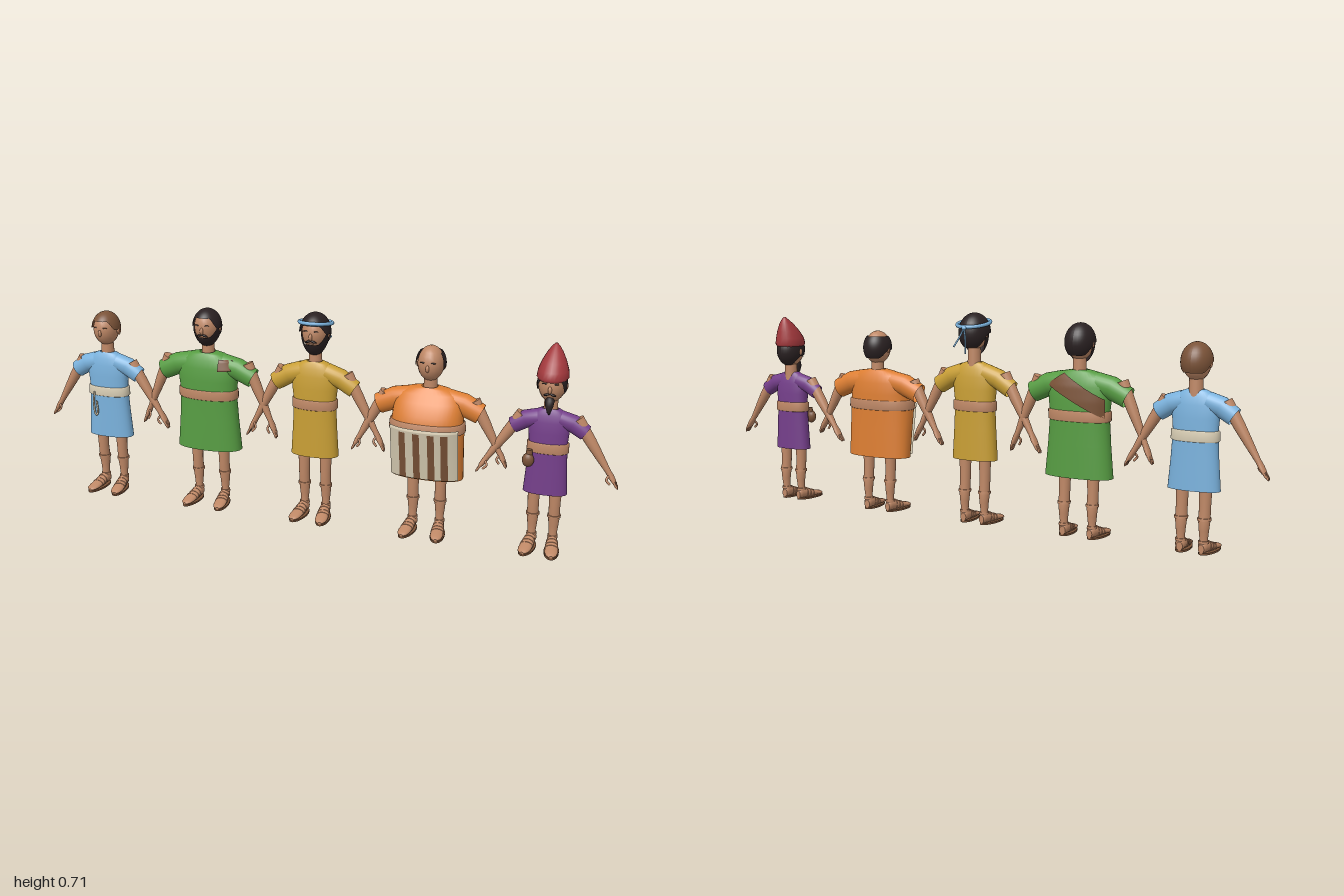
import * as THREE from 'three';

const mat = (name, color) => {
  const m = new THREE.MeshStandardMaterial({ color, side: THREE.DoubleSide });
  m.name = name;
  return m;
};
const { smoothstep, lerp } = THREE.MathUtils;
const V = (x, y, z) => new THREE.Vector3(x, y, z);

function add(parent, name, geo, material, pos) {
  const m = new THREE.Mesh(geo, material);
  m.name = name;
  if (pos) m.position.set(...pos);
  parent.add(m);
  return m;
}

// Skin over oval sections [x, y, z, r, rz]; each one is square to the path in the xy plane
function loft(secs, { n = 24, pow = 1, caps = true } = {}) {
  const pos = [], idx = [];
  const bend = (v) => Math.sign(v) * Math.abs(v) ** pow;
  const ring = (i) => {
    const s = secs[i], a = secs[Math.max(i - 1, 0)], b = secs[Math.min(i + 1, secs.length - 1)];
    const dx = b[0] - a[0], dy = b[1] - a[1], len = Math.hypot(dx, dy) || 1;
    for (let j = 0; j < n; j++) {
      const t = (j / n) * Math.PI * 2, c = bend(Math.cos(t)) * s[3];
      pos.push(s[0] + (dy / len) * c, s[1] - (dx / len) * c, s[2] + bend(Math.sin(t)) * s[4]);
    }
  };
  secs.forEach((_, i) => ring(i));
  for (let i = 0; i < secs.length - 1; i++)
    for (let j = 0; j < n; j++) {
      const a = i * n + j, b = i * n + ((j + 1) % n);
      idx.push(a, a + n, b, b, a + n, b + n);
    }
  if (caps) [0, secs.length - 1].forEach((i) => {
    const base = pos.length / 3;
    ring(i);
    pos.push(secs[i][0], secs[i][1], secs[i][2]);
    for (let j = 0; j < n; j++) {
      const k = base + ((j + 1) % n);
      if (i) idx.push(base + n, k, base + j); else idx.push(base + n, base + j, k);
    }
  });
  const g = new THREE.BufferGeometry();
  g.setAttribute('position', new THREE.Float32BufferAttribute(pos, 3));
  g.setIndex(idx);
  g.computeVertexNormals();
  return g;
}

// Section of a loft at height y, grown a little outwards
function sectionAt(secs, y, grow = 0) {
  let i = 0;
  while (i < secs.length - 2 && secs[i + 1][1] < y) i++;
  const k = (y - secs[i][1]) / (secs[i + 1][1] - secs[i][1]);
  const s = secs[i].map((v, c) => lerp(v, secs[i + 1][c], k));
  return [s[0], y, s[2], s[3] + grow, s[4] + grow];
}

// Grid moved by a rule (u, v) -> Vector3
function sheet(nu, nv, rule) {
  const g = new THREE.PlaneGeometry(1, 1, nu, nv), p = g.attributes.position, uv = g.attributes.uv;
  for (let i = 0; i < p.count; i++) p.setXYZ(i, ...rule(uv.getX(i), uv.getY(i)).toArray());
  g.computeVertexNormals();
  return g;
}

// Piece of an ellipsoid around the head; angle 0 is the front
const shell = (r, centre, span, min, max) => sheet(40, 12, (u, v) => {
  const a = centre + (u - 0.5) * span, th = lerp(max(a), min(a), v);
  return V(r[0] * Math.sin(th) * Math.sin(a), r[1] * Math.cos(th), r[2] * Math.sin(th) * Math.cos(a));
});
const hairline = (front, sideTh, back) => (a) => front
  + (sideTh - front) * smoothstep(Math.abs(a), 0.6, 1.2) + (back - sideTh) * smoothstep(Math.abs(a), 1.5, 2.4);

// Cloth lying on the body: corners are [bottom left, bottom right, top left, top right]
const BODY_POW = 0.85;
const patch = (body, [bl, br, tl, tr], side, grow) => sheet(16, 12, (u, v) => {
  const x = lerp(lerp(bl[0], br[0], u), lerp(tl[0], tr[0], u), v);
  const y = lerp(lerp(bl[1], br[1], u), lerp(tl[1], tr[1], u), v);
  const s = sectionAt(body, y, grow), k = 2 / BODY_POW, q = Math.min(Math.abs(x) / s[3], 0.93);
  return V(x, y, s[2] + side * s[4] * (1 - q ** k) ** (1 / k));
});
const tube = (pts, r, closed = false) =>
  new THREE.TubeGeometry(new THREE.CatmullRomCurve3(pts.map((p) => V(...p)), closed), 32, r, 8, closed);
const ball = (x, y, z) => new THREE.SphereGeometry(1, 18, 12).scale(x, y, z);

export function createModel() {
  const M = {
    skin: mat('skin', 0xbf8866), blue: mat('blue cloth', 0x7ab2dd), green: mat('green cloth', 0x579d43),
    yellow: mat('yellow cloth', 0xc99f35), orange: mat('orange cloth', 0xde7f33), purple: mat('purple cloth', 0x753f8b),
    dark: mat('dark hair', 0x2a2122), brown: mat('brown', 0x7b5338), red: mat('red felt', 0xa3383c), cream: mat('cream', 0xdbd0b6),
  };
  const model = new THREE.Group();
  model.name = 'fivePeople';

  // Foot runs along y, then is turned to point forwards
  const foot = [[-0.02, 0.010, 0.014], [-0.008, 0.016, 0.02], [0.012, 0.017, 0.019], [0.04, 0.02, 0.013],
    [0.07, 0.021, 0.009], [0.088, 0.017, 0.007], [0.098, 0.006, 0.004]].map(([z, w, h]) => [0, z, -0.005 - h, w, h]);

  function leg(person, f, s) {
    const g = new THREE.Group();
    g.name = s > 0 ? 'leftLeg' : 'rightLeg';
    g.position.x = s * f.foot;
    person.add(g);
    const shape = [[0.03, -0.004, 0.014], [0.05, -0.004, 0.013], [0.075, -0.005, 0.0155], [0.105, -0.004, 0.0185],
      [0.15, 0, 0.018], [f.hem + 0.06, 0, 0.022]].map(([y, z, r]) => [0, y, z, r, r]);
    add(g, 'leg', loft(shape), M.skin);
    for (const [y, h] of [[0.039, 0.004], [0.11, 0.004]])
      add(g, 'legStrap', loft([y - h, y + h].map((q) => sectionAt(shape, q, 0.003))), M.skin);
    const shoe = new THREE.Group();
    shoe.name = 'sandal';
    shoe.rotation.y = s * 0.12;
    g.add(shoe);
    add(shoe, 'foot', loft(foot).rotateX(Math.PI / 2), M.skin);
    for (const z of [0.018, 0.032, 0.046])
      add(shoe, 'footStrap', loft([z - 0.004, z + 0.004].map((q) => sectionAt(foot, q, 0.0015))).rotateX(Math.PI / 2), M.skin);
    add(shoe, 'sole', new THREE.CylinderGeometry(1, 1, 0.006, 28).scale(0.024, 1, 0.06), M.brown, [0, 0.003, 0.04]);
  }

  function arm(person, f, s) {
    const g = new THREE.Group();
    g.name = s > 0 ? 'leftArm' : 'rightArm';
    person.add(g);
    const [ex, ey] = f.sleeve, [hx, hy] = f.hand, r = f.sleeveR;
    const at = (k, dz = 0) => [s * lerp(ex, hx, k), lerp(ey, hy, k), dz];
    const sx = f.chest * 0.5, sy = f.sh - r - 0.008;
    // Sleeve with a slight cuff
    const mid = [s * lerp(sx, ex, 0.5), lerp(sy, ey, 0.5) + 0.008, 0];
    add(g, 'sleeve', loft([[s * sx, sy, 0, r * 1.1, r * 1.05], [...mid, r * 1.1, r], [s * ex, ey, 0, r, r * 0.85]],
      { caps: false }), f.cloth);
    add(g, 'arm', loft([[...at(-0.25), 0.02, 0.02], [...at(0.15), 0.018, 0.018], [...at(0.4), 0.014, 0.015],
      [...at(0.68), 0.009, 0.010], [...at(0.78), 0.009, 0.015], [...at(0.87), 0.007, 0.014]]), M.skin);
    for (let i = 0; i < 4; i++) {
      const z = 0.0105 - i * 0.007, tip = i === 3 ? 0.95 : 0.99;
      add(g, 'finger', loft([[...at(0.83, z), 0.0042, 0.0038], [...at(tip - 0.03, z), 0.0038, 0.0034], [...at(tip, z), 0.001, 0.001]],
        { n: 8 }), M.skin);
    }
    const [tx, ty] = at(0.74), [ux, uy] = at(0.9);
    add(g, 'thumb', tube([[tx, ty, 0.008], [tx - s * 0.008, lerp(ty, uy, 0.5), 0.016], [ux - s * 0.014, uy, 0.018]], 0.0038), M.skin);
  }

  function makePerson(f) {
    const p = new THREE.Group();
    p.name = f.name;
    p.position.x = f.x;
    model.add(p);
    // Tunic, open at the hem; columns: height, width, depth, belly
    const wide = [[0, f.hemW, 1, 0.1], [0.3, lerp(f.hemW, f.waist, 0.6), 0.98, 0.55], [0.58, f.waist, 0.95, 1],
      [0.72, lerp(f.waist, f.chest, 0.7), 0.97, 0.75], [0.85, f.chest, 0.9, 0.35], [0.93, f.chest * 0.86, 0.75, 0.1],
      [0.98, f.chest * 0.58, 0.6, 0], [1, 0.026, 0.5, 0]];
    const body = wide.map(([t, w, d, b]) => {
      const e = (b * (f.belly || 0)) / 2;
      return [0, lerp(f.hem, f.sh, t), e, w, f.depth * d + e];
    });
    add(p, 'tunic', loft(body, { n: 40, pow: BODY_POW, caps: false }), f.cloth);
    add(p, 'belt', loft([[-0.017, 0.001], [-0.014, 0.005], [0.014, 0.005], [0.017, 0.001]].map(([dy, g]) => sectionAt(body, f.belt + dy, g)),
      { n: 40, pow: BODY_POW, caps: false }), f.beltMat);
    for (const s of [1, -1]) { leg(p, f, s); arm(p, f, s); }
    add(p, 'neck', new THREE.CylinderGeometry(0.02, 0.023, f.head - f.sh + 0.02, 20), M.skin, [0, (f.head + f.sh) / 2 - 0.02, -0.005]);

    // Head and face
    const head = new THREE.Group();
    head.name = 'head';
    head.position.set(0, f.head, -0.003);
    p.add(head);
    add(head, 'face', ball(0.043, 0.058, 0.049), M.skin);
    add(head, 'nose', ball(0.006, 0.012, 0.008), M.skin, [0, -0.008, 0.048]);
    for (const s of [1, -1]) {
      add(head, 'ear', ball(0.005, 0.012, 0.008), M.skin, [s * 0.044, -0.004, -0.002]);
      add(head, 'brow', ball(0.009, 0.0018, 0.003), f.hairMat, [s * 0.017, 0.011, 0.0435]);
    }
    if (f.hair) add(head, 'hair', shell(f.hairR || [0.049, 0.061, 0.056], 0, Math.PI * 2, () => 0, hairline(...f.hair)), f.hairMat);
    if (f.beard) {
      add(head, 'beard', shell([0.046, f.beard, 0.053], 0, 3.5,
        (a) => lerp(2.0, 1.5, smoothstep(Math.abs(a), 0.5, 1.5)), (a) => lerp(3.1, 2.1, smoothstep(Math.abs(a), 0.9, 1.75))), M.dark);
      add(head, 'mouth', ball(0.009, 0.0025, 0.003), M.skin, [0, -0.032, 0.044]);
    }
    if (f.moustache) for (const s of [1, -1])
      add(head, 'moustache', ball(0.011, 0.0035, 0.005), M.dark, [s * 0.009, -0.023, 0.045]).rotation.z = -s * 0.3;
    return { p, body, head };
  }

  // Boy in blue with a cord hanging from the belt
  const boy = makePerson({ name: 'personInBlue', x: -0.77, hem: 0.198, sh: 0.505, hemW: 0.083, waist: 0.07, chest: 0.075, depth: 0.037,
    belt: 0.365, sleeve: [0.12, 0.428], sleeveR: 0.029, hand: [0.23, 0.245], foot: 0.037, head: 0.587,
    cloth: M.blue, beltMat: M.cream, hairMat: M.brown, hair: [1.0, 1.55, 2.1] });
  add(boy.p, 'beltCord', tube([[-0.038, 0.365, 0.04], [-0.042, 0.32, 0.043], [-0.036, 0.278, 0.043], [-0.029, 0.285, 0.043], [-0.031, 0.33, 0.042]], 0.0035), M.cream);

  // Bearded man in green with a cloth over his left shoulder and back
  const man = makePerson({ name: 'personInGreen', x: -0.385, hem: 0.2, sh: 0.543, hemW: 0.116, waist: 0.1, chest: 0.108, depth: 0.052,
    belt: 0.398, sleeve: [0.165, 0.462], sleeveR: 0.034, hand: [0.25, 0.258], foot: 0.05, head: 0.63,
    cloth: M.green, beltMat: M.skin, hairMat: M.dark, hair: [0.95, 1.6, 2.3], beard: 0.07, moustache: true });
  add(man.p, 'backCloth', patch(man.body, [[-0.098, 0.395], [0.1, 0.495], [-0.1, 0.455], [0.04, 0.533]], -1, 0.006), M.brown);
  add(man.p, 'shoulderCloth', patch(man.body, [[0.055, 0.488], [0.103, 0.49], [0.055, 0.527], [0.1, 0.523]], 1, 0.008), M.brown);

  // Man in yellow with a tied headband
  const tall = makePerson({ name: 'personInYellow', x: 0, hem: 0.22, sh: 0.548, hemW: 0.082, waist: 0.072, chest: 0.08, depth: 0.041,
    belt: 0.402, sleeve: [0.138, 0.462], sleeveR: 0.03, hand: [0.245, 0.258], foot: 0.038, head: 0.645,
    cloth: M.yellow, beltMat: M.skin, hairMat: M.dark, hair: [1.1, 1.6, 2.4], hairR: [0.052, 0.065, 0.059], beard: 0.08, moustache: true });
  const loop = Array.from({ length: 16 }, (_, i) => (i / 8) * Math.PI)
    .map((a) => [0.053 * Math.sin(a), 0.03 + 0.009 * Math.cos(a), -0.006 + 0.059 * Math.cos(a)]);
  add(tall.head, 'headband', tube(loop, 0.0065, true), M.blue);
  add(tall.head, 'headbandKnot', ball(0.009, 0.007, 0.006), M.blue, [0, 0.018, -0.07]);
  for (const s of [1, -1])
    add(tall.head, 'headbandTie', tube([[0, 0.018, -0.07], [s * 0.012, -0.015, -0.082], [s * 0.022, s > 0 ? -0.042 : -0.062, -0.098]], 0.003), M.blue);

  // Stout balding man in orange with a striped apron
  const stout = makePerson({ name: 'personInOrange', x: 0.39, hem: 0.197, sh: 0.503, hemW: 0.12, waist: 0.12, chest: 0.112, depth: 0.05, belly: 0.045,
    belt: 0.38, sleeve: [0.168, 0.425], sleeveR: 0.034, hand: [0.26, 0.253], foot: 0.046, head: 0.578,
    cloth: M.orange, beltMat: M.skin, hairMat: M.dark });
  add(stout.head, 'sideHair', shell([0.049, 0.06, 0.055], Math.PI, 3.9, () => 0.85, (a) => lerp(1.7, 2.2, smoothstep(Math.abs(Math.sin(a / 2)), 0.75, 0.95))), M.dark);
  const stripes = [-0.112, -0.078, -0.056, -0.03, -0.008, 0.018, 0.04, 0.06, 0.082, 0.112];
  for (let i = 0; i < stripes.length - 1; i++) {
    const a = stripes[i], b = stripes[i + 1];
    add(stout.p, 'apronStripe', patch(stout.body, [[a, 0.203], [b, 0.203], [a, 0.372], [b, 0.372]], 1, 0.008), i % 2 ? M.brown : M.cream);
  }
  add(stout.p, 'apronTrim', patch(stout.body, [[-0.112, 0.368], [0.112, 0.368], [-0.112, 0.383], [0.112, 0.383]], 1, 0.009), M.cream);

  // Man in purple with a pointed cap, goatee and belt pouch
  const small = makePerson({ name: 'personInPurple', x: 0.775, hem: 0.19, sh: 0.472, hemW: 0.07, waist: 0.06, chest: 0.065, depth: 0.034,
    belt: 0.345, sleeve: [0.113, 0.402], sleeveR: 0.026, hand: [0.225, 0.23], foot: 0.034, head: 0.55,
    cloth: M.purple, beltMat: M.skin, hairMat: M.dark, hair: [0.9, 1.9, 2.6], hairR: [0.047, 0.06, 0.058], moustache: true });
  add(small.head, 'cap', loft([[0.016, 0.045, 0.053, -0.002], [0.024, 0.05, 0.058, -0.003], [0.045, 0.047, 0.054, -0.005], [0.07, 0.038, 0.043, -0.013],
    [0.095, 0.025, 0.028, -0.023], [0.112, 0.013, 0.014, -0.03], [0.122, 0.003, 0.003, -0.033]].map(([y, w, d, z]) => [0, y, z, w, d])), M.red);
  add(small.head, 'goatee', loft([[-0.092, 0.002, 0.002, 0.034], [-0.08, 0.007, 0.006, 0.039], [-0.06, 0.013, 0.011, 0.038],
    [-0.045, 0.015, 0.011, 0.033], [-0.034, 0.008, 0.006, 0.034]].map(([y, w, d, z]) => [0, y, z, w, d])), M.dark);
  add(small.p, 'beltPouch', ball(0.019, 0.023, 0.015), M.brown, [-0.054, 0.305, 0.038]);
  add(small.p, 'pouchNeck', new THREE.CylinderGeometry(0.009, 0.011, 0.016, 14), M.brown, [-0.052, 0.331, 0.034]);

  return model;
}
